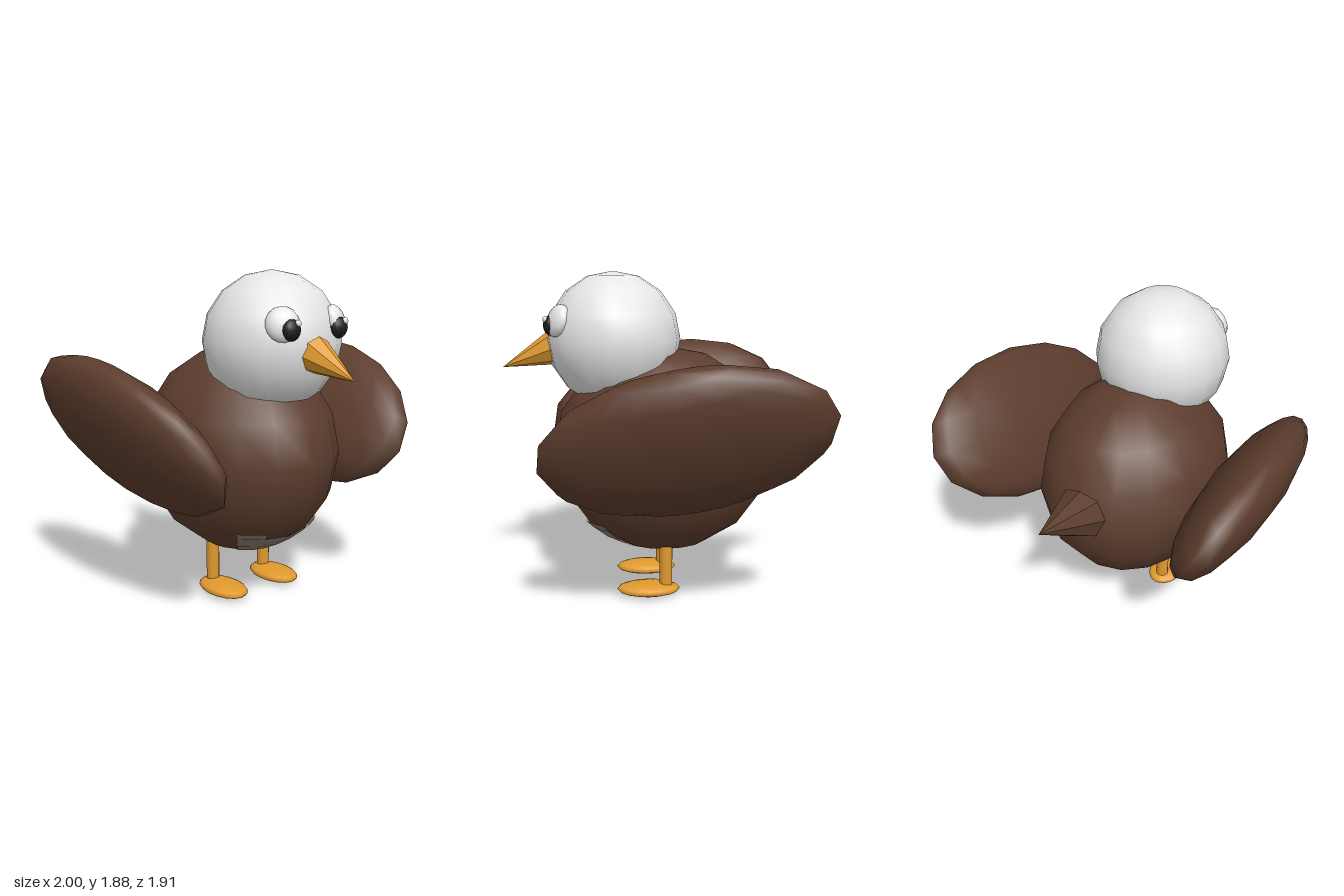
import * as THREE from 'three';

const mat = (name, color, extra = {}) => {
  const m = new THREE.MeshStandardMaterial({ color, ...extra });
  m.name = name;
  return m;
};

export function createModel() {
  const bird = new THREE.Group();
  bird.name = 'bird';

  const brown = mat('brown feathers', 0x5d3d2e);
  const white = mat('white feathers', 0xe6e6e6);
  const orange = mat('orange', 0xe09a2e);
  const black = mat('black', 0x1c1c1c);
  const grey = mat('belly grey', 0x8c7a70, { side: THREE.DoubleSide });

  const add = (name, geometry, material, position) => {
    const mesh = new THREE.Mesh(geometry, material);
    mesh.name = name;
    mesh.position.set(...position);
    bird.add(mesh);
    return mesh;
  };
  const ellipsoid = (name, material, position, scale) => {
    const mesh = add(name, new THREE.SphereGeometry(1, 16, 8), material, position);
    mesh.scale.set(...scale);
    return mesh;
  };
  // Faceted cone with its point at tip, aimed along dir
  const spike = (name, material, tip, dir, radius, length) => {
    const axis = new THREE.Vector3(...dir).normalize();
    const geometry = new THREE.ConeGeometry(radius, length, 8).translate(0, -length / 2, 0).toNonIndexed();
    geometry.computeVertexNormals();
    const mesh = add(name, geometry, material, tip);
    mesh.quaternion.setFromUnitVectors(new THREE.Vector3(0, 1, 0), axis);
    return mesh;
  };

  // Body and head
  const bodyCentre = [0, 0.85, 0.02];
  const bodySize = [0.54, 0.61, 0.65];
  ellipsoid('body', brown, bodyCentre, bodySize);
  ellipsoid('head', white, [0, 1.5, 0.31], [0.39, 0.39, 0.39]);

  // Pale belly patch lying on the body, with two raised corners
  const deg = Math.PI / 180;
  const patches = [[45, 90, 4, 135, 22.5], [45, 22.5, 1, 130, 5], [112.5, 22.5, 1, 130, 5]];
  for (const [phi, width, segments, theta, height] of patches) {
    const geometry = new THREE.SphereGeometry(1, segments, 1, phi * deg, width * deg, theta * deg, height * deg);
    add('bellyPatch', geometry, grey, bodyCentre).scale.set(...bodySize.map(s => s * 1.008));
  }

  // Beak and tail
  spike('beak', orange, [0, 1.34, 0.955], [0, -0.35, 0.937], 0.122, 0.38);
  spike('tail', brown, [0, 1.07, -0.955], [0, 0.317, -0.948], 0.165, 0.43);

  for (const [side, s] of [['left', 1], ['right', -1]]) {
    // Raised wing, leaning outwards and pitched down at the front
    const wing = ellipsoid(side + 'Wing', brown, [s * 0.72, 1.01, -0.055], [0.19, 0.45, 0.79]);
    wing.rotation.set(13 * deg, 0, -s * 28 * deg, 'ZYX');

    // Flattened eye, pupil and glint
    const facing = new THREE.Vector3(s * 0.5, 0.3, 0.81).normalize();
    const eye = ellipsoid(side + 'Eye', white, [s * 0.188, 1.615, 0.617], [0.092, 0.095, 0.052]);
    eye.quaternion.setFromUnitVectors(new THREE.Vector3(0, 0, 1), facing);
    ellipsoid(side + 'Pupil', black, [s * 0.168, 1.588, 0.66], [0.058, 0.058, 0.042]);
    ellipsoid(side + 'Glint', white, [s * 0.168 + 0.022, 1.622, 0.688], [0.019, 0.019, 0.014]);

    // Leg and foot
    add(side + 'Leg', new THREE.CylinderGeometry(0.038, 0.038, 0.26, 12), orange, [s * 0.195, 0.175, 0.018]);
    ellipsoid(side + 'Foot', orange, [s * 0.195, 0.043, 0.12], [0.115, 0.038, 0.185]);
  }

  return bird;
}
